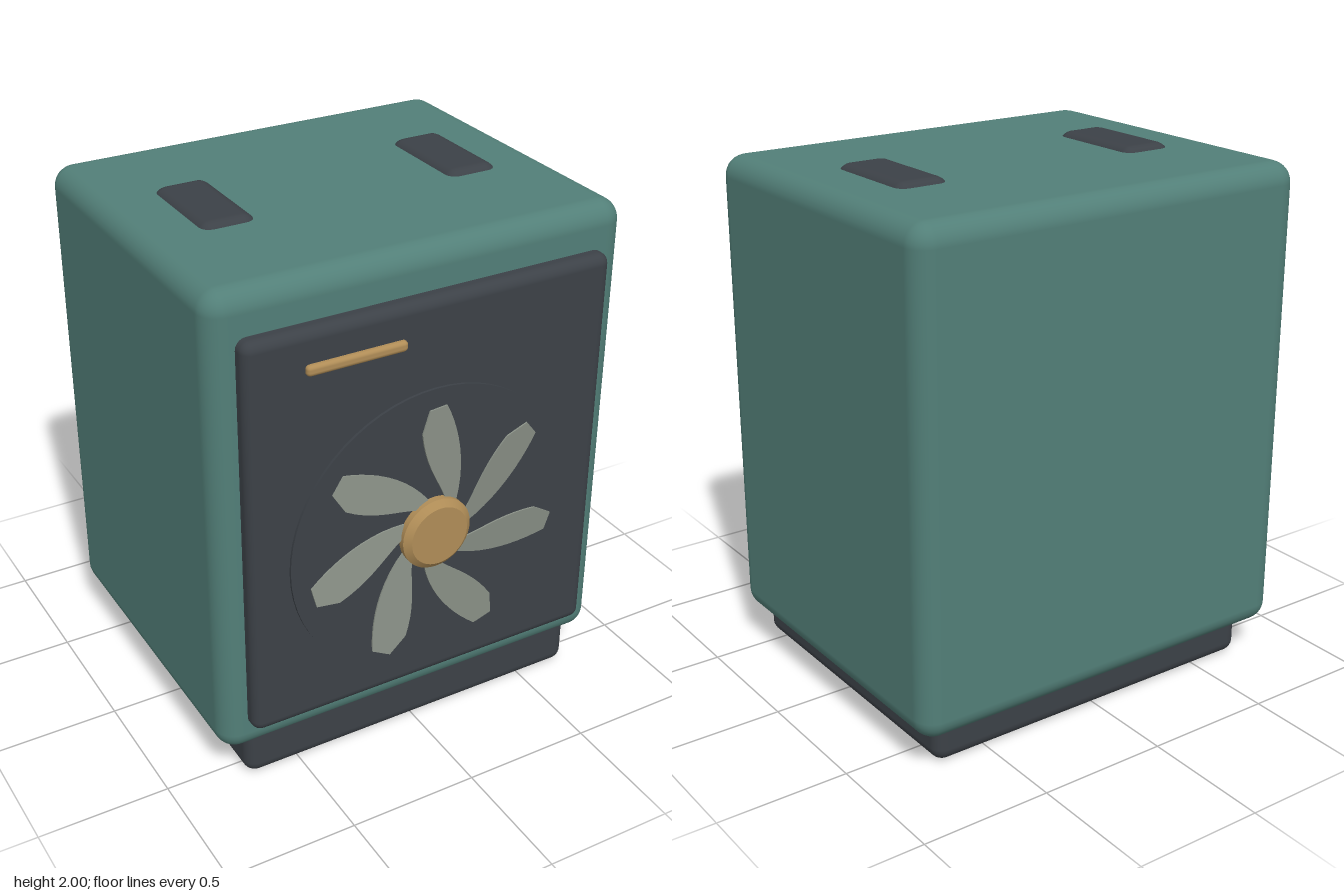
import * as THREE from 'three';
import { toCreasedNormals } from 'three/addons/utils/BufferGeometryUtils.js';
import { RoundedBoxGeometry } from 'three/addons/geometries/RoundedBoxGeometry.js';

const mat = (name, color) => {
  const m = new THREE.MeshStandardMaterial({ color });
  m.name = name;
  return m;
};

export function createModel() {
  const teal = mat('teal shell', 0x527f78);
  const dark = mat('charcoal', 0x3c4147);
  const brass = mat('brass', 0xb08d57);
  const grey = mat('pale grey', 0x8b9288);
  grey.side = THREE.DoubleSide;

  const model = new THREE.Group();
  const add = (name, geometry, material, x = 0, y = 0, z = 0, parent = model) => {
    const mesh = new THREE.Mesh(geometry, material);
    mesh.name = name;
    mesh.position.set(x, y, z);
    parent.add(mesh);
    return mesh;
  };
  // Rounded box given by its minimum and maximum corners
  const box = (name, material, [x0, y0, z0], [x1, y1, z1], radius, segments = 3) =>
    add(name, new RoundedBoxGeometry(x1 - x0, y1 - y0, z1 - z0, segments, radius), material,
      (x0 + x1) / 2, (y0 + y1) / 2, (z0 + z1) / 2);

  // Cabinet
  box('base', dark, [-0.715, 0, -0.65], [0.715, 0.3, 0.595], 0.05);
  box('body', teal, [-0.815, 0.145, -0.73], [0.815, 1.98, 0.61], 0.08, 4);
  box('frontPanel', dark, [-0.718, 0.26, 0.53], [0.718, 1.82, 0.67], 0.04);
  box('indicatorBar', brass, [-0.5, 1.66, 0.65], [-0.12, 1.7, 0.69], 0.015, 2);

  // Pads on the top
  for (const side of [-1, 1])
    box(side < 0 ? 'rightTopPad' : 'leftTopPad', dark,
      [side * 0.49 - 0.11, 1.88, -0.29], [side * 0.49 + 0.11, 2, 0.145], 0.05, 3);

  // Fan assembly, centred on its axle
  const fan = new THREE.Group();
  fan.name = 'fan';
  fan.position.set(0, 0.915, 0);
  model.add(fan);

  const disc = new THREE.CylinderGeometry(0.57, 0.57, 0.03, 64).rotateX(Math.PI / 2);
  add('fanBackDisc', disc, dark, 0, 0, 0.665, fan);

  const hubProfile = [[0, 0.665], [0.115, 0.665], [0.14, 0.685], [0.14, 0.71], [0.115, 0.73], [0, 0.73]]
    .map(([r, h]) => new THREE.Vector2(r, h));
  const hub = new THREE.LatheGeometry(hubProfile, 40).rotateX(Math.PI / 2);
  add('fanHub', toCreasedNormals(hub, 0.5), brass, 0, 0, 0, fan);

  // Swept blade outline, pointing up
  const blade = new THREE.Shape();
  blade.moveTo(0.05, 0.1);
  blade.bezierCurveTo(0.02, 0.2, -0.05, 0.27, -0.07, 0.42);
  blade.lineTo(-0.04, 0.505);
  blade.lineTo(0.035, 0.505);
  blade.bezierCurveTo(0.09, 0.4, 0.13, 0.25, 0.09, 0.1);
  const bladeGeometry = new THREE.ExtrudeGeometry(blade, { depth: 0.006, bevelEnabled: false, curveSegments: 10 });
  // Pitch the blade: the trailing edge sits further back
  const pos = bladeGeometry.attributes.position;
  for (let i = 0; i < pos.count; i++) pos.setZ(i, pos.getZ(i) - 0.12 * pos.getX(i));
  bladeGeometry.computeVertexNormals();

  for (let i = 0; i < 7; i++)
    add('fanBlade' + (i + 1), bladeGeometry, grey, 0, 0, 0.695, fan).rotation.z = (i * Math.PI * 2) / 7;

  return model;
}
